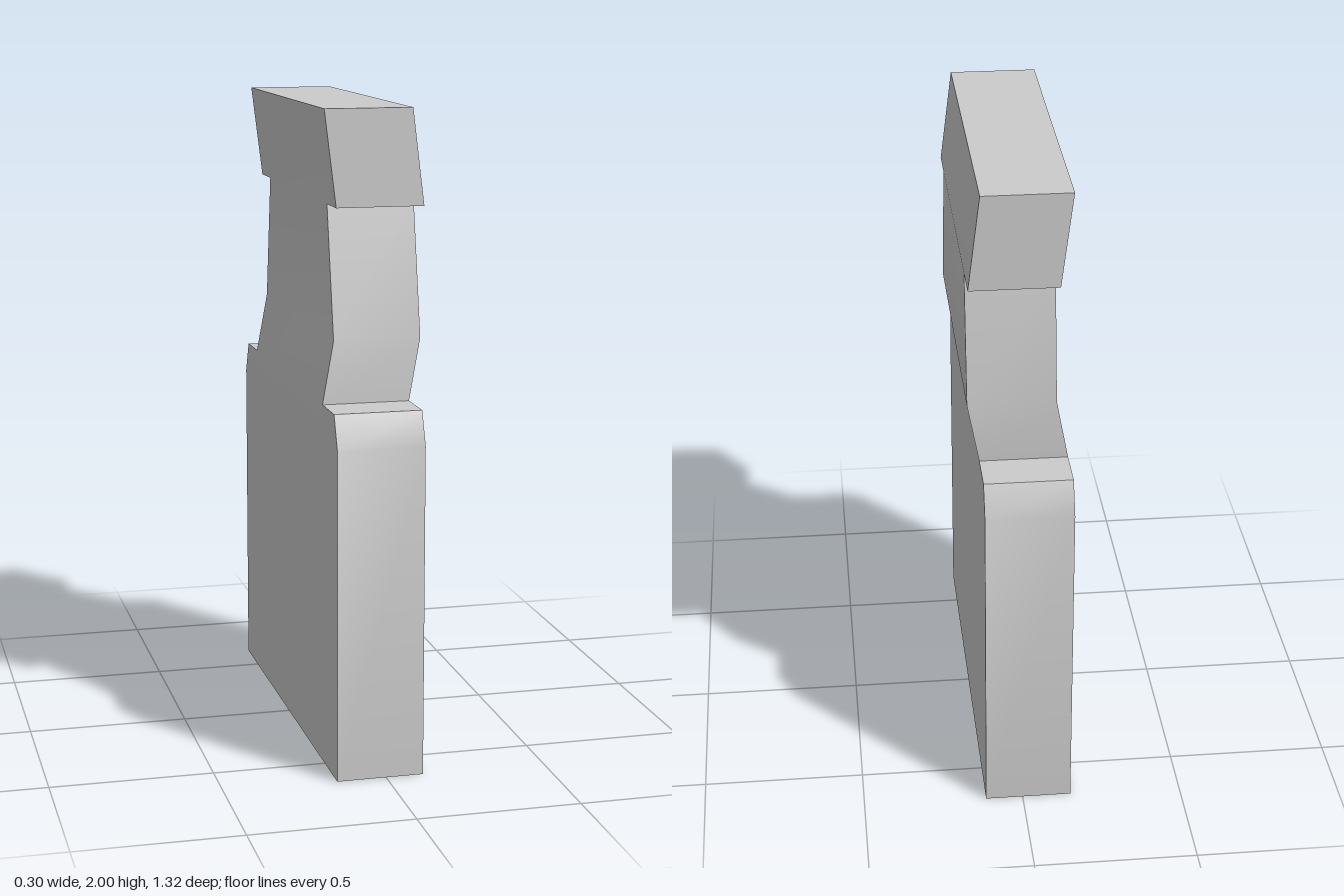
import * as THREE from 'three';
import { toCreasedNormals } from 'three/addons/utils/BufferGeometryUtils.js';

const HALF_THICKNESS = 0.134;

// Cross-sections from bottom to top: height, sideways shift, front z, back z,
// and the inner z pair that lines up with the neck
const rows = [
  [0.00, -0.018, 0.66, -0.66, 0.475, -0.475],
  [1.02, -0.018, 0.66, -0.66, 0.475, -0.475],
  [1.12, -0.018, 0.62, -0.615, 0.475, -0.475],
  [1.12, -0.018, 0.475, -0.475, 0.475, -0.475],
  [1.31, 0.018, 0.467, -0.477, 0.467, -0.477],
  [1.71, 0.018, 0.385, -0.412, 0.385, -0.412],
  [1.71, 0.018, 0.50, -0.537, 0.385, -0.412],
  [2.00, -0.018, 0.50, -0.537, 0.385, -0.412],
].map(([y, shift, front, back, inFront, inBack]) => ({ y, shift, z: [front, inFront, inBack, back] }));

function bentPlate() {
  const positions = [];
  const quad = (a, b, c, d) => positions.push(...a, ...b, ...c, ...a, ...c, ...d);
  const point = (row, column, side) => [row.shift + side * HALF_THICKNESS, row.y, row.z[column]];

  // Broad left and right faces, one strip per pair of sections
  for (let i = 0; i < rows.length - 1; i++) {
    const low = rows[i], high = rows[i + 1];
    if (low.y === high.y) continue;
    for (let c = 0; c < 3; c++) {
      if (low.z[c] === low.z[c + 1] && high.z[c] === high.z[c + 1]) continue;
      const strip = (s) => [point(low, c, s), point(low, c + 1, s), point(high, c + 1, s), point(high, c, s)];
      quad(...strip(1));
      quad(...strip(-1).reverse());
    }
  }

  // Edge walls and ledges: up the back, then down the front
  const outline = [
    ...rows.map((row) => [row, 3]),
    ...[...rows].reverse().map((row) => [row, 0]),
  ];
  outline.forEach((p, i) => {
    const q = outline[(i + 1) % outline.length];
    quad(point(...p, 1), point(...p, -1), point(...q, -1), point(...q, 1));
  });

  const geometry = new THREE.BufferGeometry();
  geometry.setAttribute('position', new THREE.Float32BufferAttribute(positions, 3));
  return toCreasedNormals(geometry, 0.6);
}

export function createModel() {
  const group = new THREE.Group();
  group.name = 'steppedPlate';
  // Base, bent neck and overhanging head in one solid piece
  const plate = new THREE.Mesh(bentPlate(), new THREE.MeshStandardMaterial({ color: 0xcccccc }));
  plate.name = 'bentPlate';
  group.add(plate);
  return group;
}
